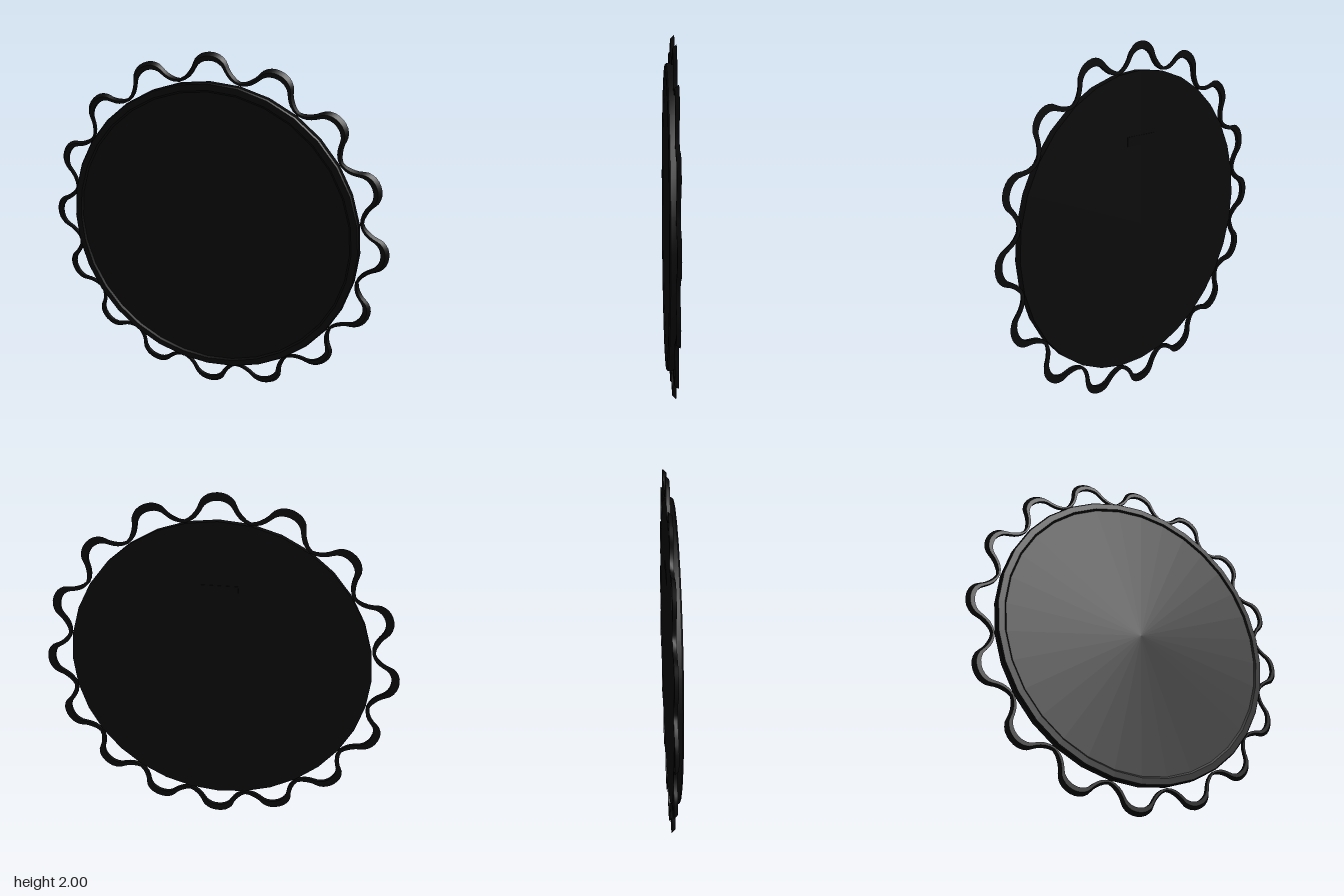
import * as THREE from 'three';
import { toCreasedNormals } from 'three/addons/utils/BufferGeometryUtils.js';

const LOBES = 16;
const Z_BACK = -0.025, Z_FRONT = -0.005;

// Half a lobe, crest to trough: [tangential, radial] for both edges of the band
const OUTER = [[0, 1], [0.05, 0.99], [0.087, 0.96], [0.105, 0.92], [0.13, 0.885], [0.17, 0.855]];
const INNER = [[0, 0.957], [0.038, 0.95], [0.068, 0.93], [0.087, 0.9], [0.115, 0.865], [0.167, 0.838]];

// Repeats the half lobe, mirrored, all the way around
function waveCurve(half) {
  const points = [];
  for (let k = 0; k < LOBES; k++) {
    const a = (k / LOBES) * Math.PI * 2;
    const add = (t, r, angle) => points.push(new THREE.Vector3(
      r * Math.cos(angle) - t * Math.sin(angle),
      r * Math.sin(angle) + t * Math.cos(angle), 0));
    half.forEach(([t, r]) => add(t, r, a));
    const next = a + (Math.PI * 2) / LOBES;
    half.slice(1, -1).reverse().forEach(([t, r]) => add(-t, r, next));
  }
  return new THREE.CatmullRomCurve3(points, true);
}

// Scalloped band with a bevelled outer edge, lofted from four-point sections
function scallopGeometry() {
  const outer = waveCurve(OUTER), inner = waveCurve(INNER);
  const count = LOBES * 20;
  const position = [], index = [];
  for (let i = 0; i < count; i++) {
    const o = outer.getPoint(i / count), n = inner.getPoint(i / count);
    const bevel = o.clone().lerp(n, 0.45);
    position.push(o.x, o.y, Z_BACK, bevel.x, bevel.y, Z_FRONT, n.x, n.y, Z_FRONT, n.x, n.y, Z_BACK);
    const a = i * 4, b = ((i + 1) % count) * 4;
    for (let j = 0; j < 4; j++) {
      const k = (j + 1) % 4;
      index.push(a + j, b + j, b + k, a + j, b + k, a + k);
    }
  }
  const geometry = new THREE.BufferGeometry();
  geometry.setAttribute('position', new THREE.Float32BufferAttribute(position, 3));
  geometry.setIndex(index);
  return toCreasedNormals(geometry, 0.6);
}

// Turned part whose axis points to the front
function turned(profile) {
  const geometry = new THREE.LatheGeometry(profile.map(([r, z]) => new THREE.Vector2(r, z)), 32);
  geometry.rotateX(Math.PI / 2);
  return toCreasedNormals(geometry, 0.4);
}

export function createModel() {
  const group = new THREE.Group();
  const black = new THREE.MeshStandardMaterial({ color: 0x0a0a0a });
  const add = (name, geometry) => {
    const mesh = new THREE.Mesh(geometry, black);
    mesh.name = name;
    group.add(mesh);
    return mesh;
  };

  // Wavy border
  add('scallopedBorder', scallopGeometry());

  // Round body with a raised rim and flat back
  add('rimAndBack', turned([
    [0, -0.022], [0.85, -0.022], [0.85, 0.018], [0.843, 0.025], [0.81, 0.025], [0.8, 0.016],
  ]));

  // Recessed front panel
  add('frontPanel', turned([[0.8, 0.016], [0, 0.016]]));

  // Small hanging bar on the back
  add('hangingBar', new THREE.BoxGeometry(0.22, 0.05, 0.006)).position.set(0, 0.48, -0.022);

  group.position.y = 1;
  const model = new THREE.Group();
  model.name = 'scallopedRoundPanel';
  model.add(group);
  return model;
}
